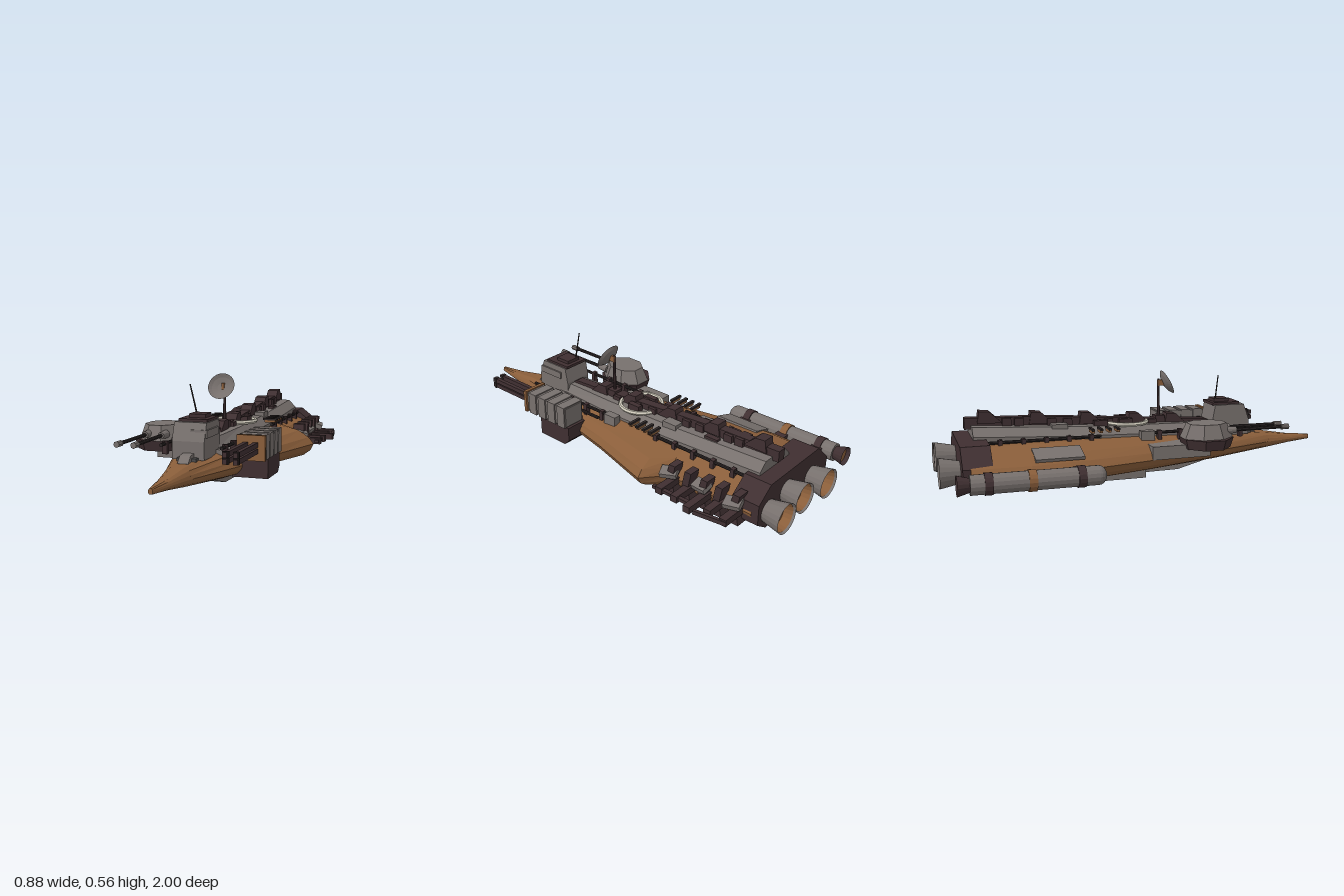
import * as THREE from 'three';

const mat = (name, color, extra = {}) => Object.assign(new THREE.MeshStandardMaterial({ color, flatShading: true, side: THREE.DoubleSide, ...extra }), { name });

export function createModel() {
  const brown = mat('rustBrown', 0x8a5e3a), grey = mat('hullGrey', 0x77706d), dark = mat('darkPlum', 0x3f2f31);
  const black = mat('gunmetal', 0x2b2525), slate = mat('slateGrey', 0x4b4a4a), cream = mat('paleRing', 0xcfcabb);
  const model = new THREE.Group();
  const CX = 0.06; // keel line

  const add = (name, geo, m, x = 0, y = 0, z = 0, parent = model) => {
    const mesh = new THREE.Mesh(geo, m);
    mesh.name = name;
    mesh.position.set(x, y, z);
    parent.add(mesh);
    return mesh;
  };
  // box given by its limits
  const box = (name, m, x0, x1, y0, y1, z0, z1) =>
    add(name, new THREE.BoxGeometry(x1 - x0, y1 - y0, Math.abs(z1 - z0)), m, (x0 + x1) / 2, (y0 + y1) / 2, (z0 + z1) / 2);
  // cylinder along z, rF at the front end
  const rod = (name, m, x, y, z0, z1, rF, rB = rF, sides = 12, open = false) =>
    add(name, new THREE.CylinderGeometry(rF, rB, Math.abs(z1 - z0), sides, 1, open).rotateX(Math.PI / 2), m, x, y, (z0 + z1) / 2);
  // profile of [z, y] points extruded along x
  const profile = (name, m, pts, width, x) => {
    const shape = new THREE.Shape(pts.map(p => new THREE.Vector2(...p)));
    return add(name, new THREE.ExtrudeGeometry(shape, { depth: width, bevelEnabled: false })
      .translate(0, 0, -width / 2).rotateY(-Math.PI / 2), m, x);
  };
  // skin over rings, front to back, each ring clockwise seen from the front
  const loft = (name, m, rings) => {
    const n = rings[0].length, idx = [], last = (rings.length - 1) * n;
    for (let i = 0; i < rings.length - 1; i++)
      for (let j = 0; j < n; j++) {
        const a = i * n + j, b = i * n + (j + 1) % n;
        idx.push(a, b, a + n, b, b + n, a + n);
      }
    for (let j = 1; j < n - 1; j++) idx.push(0, j + 1, j, last, last + j, last + j + 1);
    let g = new THREE.BufferGeometry();
    g.setAttribute('position', new THREE.Float32BufferAttribute(rings.flat(2), 3));
    g.setIndex(idx);
    g = g.toNonIndexed();
    g.computeVertexNormals();
    return add(name, g, m);
  };

  // Hull: [z, left, right, top, bottom]
  const half = [[-1, 0], [-0.92, 0.37], [-0.76, 0.74], [-0.45, 1], [0.45, 1], [0.76, 0.74], [0.92, 0.37],
    [1, 0], [0.95, -0.36], [0.84, -0.66], [0.5, -1], [-0.53, -1], [-0.84, -0.66], [-0.95, -0.36]];
  const hullRing = ([z, l, r, t, b]) => half.map(([u, v]) =>
    [CX + (u < 0 ? -u * (l - CX) : u * (r - CX)), 0.165 + (v > 0 ? v * (t - 0.165) : -v * (b - 0.165)), z]);
  const hull = [[1, 0.05, 0.07, 0.178, 0.154], [0.87, 0.025, 0.095, 0.188, 0.145], [0.73, -0.005, 0.125, 0.21, 0.13],
    [0.4, -0.11, 0.225, 0.235, 0.105], [0, -0.22, 0.31, 0.25, 0.085], [-0.33, -0.29, 0.4, 0.257, 0.07],
    [-0.42, -0.305, 0.29, 0.26, 0.066], [-0.6, -0.325, 0.285, 0.26, 0.06], [-0.87, -0.312, 0.29, 0.26, 0.057]];
  loft('hull', brown, hull.map(hullRing));
  rod('noseSeam', brown, CX, 0.169, 0.735, 0.725, 0.062, 0.064, 14).scale.y = 0.66;
  const panel = box('hullPanel', grey, -0.28, -0.17, 0.225, 0.24, -0.58, -0.35);
  panel.rotation.z = 0.3;
  box('foredeckPlate', grey, 0.12, 0.2, 0.21, 0.245, 0.3, 0.45);

  // Raised spine deck
  const spineRing = (z, w, t) => [[-1, 0.2], [-1, t - 0.04], [-0.65, t], [0.65, t], [1, t - 0.04], [1, 0.2]]
    .map(([u, y]) => [CX + u * w, y, z]);
  loft('spineDeck', grey, [spineRing(0.42, 0.075, 0.29), spineRing(0.1, 0.105, 0.3), spineRing(-0.3, 0.115, 0.312), spineRing(-0.83, 0.115, 0.338)]);
  profile('spineBeam', dark, [[0.42, 0.28], [0.38, 0.305], [0.2, 0.315], [-0.5, 0.365], [-0.86, 0.375], [-0.86, 0.32], [-0.5, 0.31]], 0.045, CX);
  const beamTop = z => 0.328 - z * 0.062;
  for (const z of [0.2, 0, -0.25, -0.5, -0.75]) {
    const y = beamTop(z);
    profile('spineWedge', dark, [[z + 0.07, y - 0.03], [z + 0.01, y + 0.026], [z - 0.04, y + 0.03], [z - 0.05, y - 0.03]], 0.06, CX);
  }
  for (const z of [0.08, -0.05, -0.15, -0.36, -0.44, -0.6, -0.66])
    box('spineBlock', dark, CX - 0.038, CX + 0.038, beamTop(z) - 0.045, beamTop(z) - 0.002, z + 0.022, z - 0.022);
  for (const [x, z] of [[0.115, -0.53], [0, -0.2], [0.115, -0.06], [0.005, -0.07]])
    box('deckLocker', dark, x - 0.014, x + 0.014, 0.29, 0.335, z - 0.035, z + 0.035);
  for (const [x, z] of [[0, -0.41], [0.12, -0.3]])
    box('deckHatch', grey, x - 0.025, x + 0.025, 0.3, 0.33, z - 0.04, z + 0.04);
  add('deckRing', new THREE.TorusGeometry(0.103, 0.011, 6, 32).rotateX(Math.PI / 2), cream, 0.056, 0.312, -0.05);

  // Pipes with clamps and cooling bars on each flank of the deck
  for (const [s, x] of [[-1, -0.083], [1, 0.2]]) {
    for (const [z0, z1] of [[0.57, 0], [-0.22, -0.77]]) {
      rod('deckPipe', black, x, 0.272, z0, z1, 0.008, 0.008, 8);
      for (let k = 0; k < 5; k++) {
        const z = z0 - 0.05 - k * 0.11;
        box('pipeClamp', dark, x - 0.012, x + 0.012, 0.225, 0.284, z - 0.01, z + 0.01);
      }
    }
    for (let k = 0; k < 4; k++) {
      const z = -0.27 + k * 0.042, bx = x - s * 0.012 + s * 0.025;
      box('coolingBar', black, bx - 0.036, bx + 0.036, 0.306, 0.316, z - 0.007, z + 0.007);
      box('coolingBarBase', brown, bx - 0.028, bx + 0.028, 0.295, 0.306, z - 0.007, z + 0.007);
    }
    box('deckVent', grey, x - 0.02, x + 0.02, 0.23, 0.285, -0.02, 0.05);
  }
  rod('sidePipe', black, 0.23, 0.255, 0.4, 0.08, 0.008, 0.008, 8);

  // Bridge tower
  profile('bridgeTower', grey, [[0.6, 0.22], [0.6, 0.3], [0.57, 0.38], [0.41, 0.38], [0.395, 0.3], [0.395, 0.22]], 0.15, 0.057);
  box('bridgeSidePanel', grey, 0.062, 0.14, 0.315, 0.35, 0.44, 0.585);
  box('bridgeRoof', dark, -0.006, 0.126, 0.378, 0.392, 0.4, 0.55);
  box('roofHatch', dark, 0.022, 0.1, 0.392, 0.408, 0.42, 0.5);
  box('bowHousing', slate, 0.015, 0.105, 0.2, 0.232, 0.59, 0.63);
  profile('bowLamp', grey, [[0.6, 0.19], [0.6, 0.25], [0.64, 0.245], [0.67, 0.215], [0.67, 0.19]], 0.05, CX);
  const whip = add('whipAntenna', new THREE.CylinderGeometry(0.003, 0.004, 0.14, 6), black, 0.018, 0.465, 0.43);
  whip.rotation.z = 0.24;

  // Dish on its mast
  add('dishMast', new THREE.CylinderGeometry(0.006, 0.009, 0.22, 8), dark, CX, 0.41, 0.125);
  box('mastFoot', dark, 0.035, 0.085, 0.3, 0.335, 0.1, 0.15);
  box('dishArm', brown, 0.053, 0.067, 0.485, 0.515, 0.12, 0.155);
  const bowl = [[0, 0], [0.025, 0.003], [0.05, 0.012], [0.066, 0.023]].map(p => new THREE.Vector2(...p));
  add('dish', new THREE.LatheGeometry(bowl, 24).rotateX(1.1), grey, 0.058, 0.493, 0.15);

  // Gun turret
  const drum = (name, m, rt, rb, h, y, sz) => add(name, new THREE.CylinderGeometry(rt, rb, h, 8).rotateY(Math.PI / 8).scale(1, 1, sz), m, -0.195, y, 0.285);
  box('turretArm', grey, -0.22, -0.09, 0.165, 0.23, 0, 0.3);
  drum('turretBase', dark, 0.135, 0.12, 0.05, 0.235, 1.0);
  drum('turretHead', grey, 0.08, 0.105, 0.07, 0.295, 1.28);
  for (const x of [-0.225, -0.145]) {
    rod('barrelCollar', grey, x, 0.29, 0.43, 0.37, 0.016, 0.02);
    rod('gunBarrel', black, x, 0.29, 0.7, 0.4, 0.009, 0.009, 8);
    rod('muzzle', grey, x, 0.29, 0.72, 0.68, 0.014, 0.014, 8);
  }

  // Rail launcher
  profile('launcherMount', dark, [[0.37, 0.21], [0.37, 0.11], [0.2, 0.11], [0.17, 0.14], [0.17, 0.21]], 0.17, 0.265);
  box('launcherBody', grey, 0.245, 0.355, 0.215, 0.315, 0.18, 0.46);
  for (let k = 0; k < 4; k++)
    box('launcherBand', grey, 0.238, 0.362, 0.209, 0.321, 0.185 + k * 0.068, 0.235 + k * 0.068);
  box('launcherFace', brown, 0.235, 0.366, 0.208, 0.322, 0.455, 0.472);
  for (const x of [0.277, 0.323]) for (const y of [0.252, 0.28]) {
    box('launchRail', dark, x - 0.01, x + 0.01, y - 0.011, y + 0.011, 0.46, 0.755);
    box('railTip', black, x - 0.013, x + 0.013, y - 0.013, y + 0.013, 0.73, 0.745);
  }

  // Side tank with its thruster
  const tx = -0.395, ty = 0.162;
  rod('sideTank', grey, tx, ty, -0.32, -0.89, 0.045, 0.045, 16);
  add('tankDome', new THREE.SphereGeometry(0.045, 16, 6, 0, Math.PI * 2, 0, Math.PI / 2).rotateX(Math.PI / 2), grey, tx, ty, -0.32).scale.z = 0.85;
  rod('tankNozzle', dark, tx, ty, -0.89, -0.945, 0.032, 0.047, 16, true);
  rod('tankGlow', brown, tx, ty, -0.89, -0.925, 0.03, 0.04, 16);
  for (const [z, m] of [[-0.81, dark], [-0.62, brown], [-0.4, dark]]) {
    rod('tankBand', m, tx, ty, z + 0.018, z - 0.018, 0.05, 0.05, 16);
    box('tankStrut', dark, -0.36, -0.28, 0.142, 0.182, z - 0.028, z + 0.028);
  }

  // Bare ribs on the broken flank
  for (const [k, z] of [-0.46, -0.55, -0.64, -0.72, -0.81].entries()) {
    box('flankRib', dark, 0.26, [0.41, 0.415, 0.44, 0.4, 0.41][k], 0.145, 0.178, z - 0.018, z + 0.018);
    profile('ribFrame', dark, [[z + 0.015, 0.1], [z + 0.03, 0.17], [z + 0.015, 0.25], [z - 0.02, 0.25], [z - 0.005, 0.17], [z - 0.02, 0.1]], 0.06, 0.29);
  }
  box('flankRail', dark, 0.385, 0.405, 0.155, 0.17, -0.64, -0.42);
  box('looseStrut', dark, 0.408, 0.424, 0.15, 0.17, -0.83, -0.67).rotation.y = 0.15;
  for (const [x, z, r] of [[0.315, -0.795, 0.2], [0.3, -0.615, -0.15], [0.31, -0.44, 0.35]])
    box('tornPlate', grey, x - 0.028, x + 0.028, 0.19, 0.215, z - 0.04, z + 0.04).rotation.set(0.1, r, -0.35);

  // Stern block and engines
  const stern = new THREE.Shape([[-0.28, 0.12], [-0.28, 0.2], [-0.19, 0.285], [0.2, 0.285], [0.285, 0.22], [0.285, 0.12], [0.22, 0.075], [-0.2, 0.075]]
    .map(p => new THREE.Vector2(...p)));
  add('sternBlock', new THREE.ExtrudeGeometry(stern, { depth: 0.135, bevelEnabled: false }), dark, 0, 0, -0.905);
  for (const [x, y] of [[-0.14, 0.16], [0.067, 0.19], [0.21, 0.16]]) {
    rod('engineBell', grey, x, y, -0.9, -1, 0.052, 0.072, 20, true);
    rod('engineLining', brown, x, y, -0.9, -0.99, 0.046, 0.066, 20, true);
    rod('engineCore', brown, x, y, -0.9, -0.95, 0.045, 0.055, 20);
  }

  // Belly keel
  profile('keelStrip', grey, [[0.42, 0.11], [0.4, 0.095], [0.22, 0.048], [-0.5, 0.037], [-0.78, 0.037], [-0.8, 0.08], [0, 0.1]], 0.077, 0.058);
  box('keelCrossPlate', grey, -0.058, 0.175, 0.038, 0.085, -0.22, 0.02);
  box('keelBrace', brown, 0.01, 0.106, 0.02, 0.055, -0.72, -0.62);
  profile('ventralPod', grey, [[-0.53, 0.045], [-0.56, 0.002], [-0.75, 0], [-0.77, 0.045]], 0.077, 0.058);

  return model;
}
